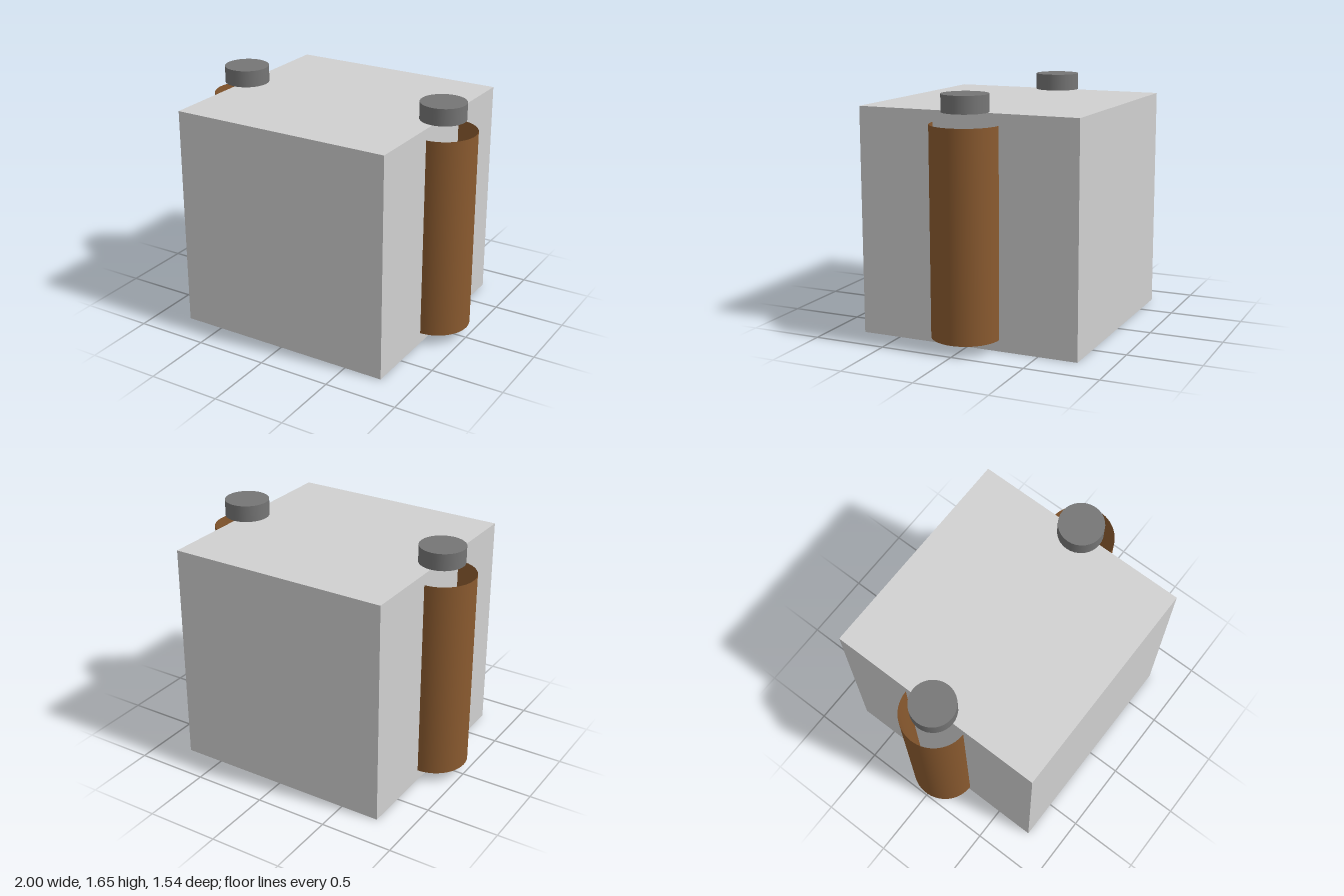
import * as THREE from 'three';

const SIZE = 1.538; // edge of the cube body

function addMesh(parent, name, geometry, material, x, y) {
  const mesh = new THREE.Mesh(geometry, material);
  mesh.name = name;
  mesh.position.set(x, y, 0);
  parent.add(mesh);
  return mesh;
}

export function createModel() {
  const group = new THREE.Group();
  group.name = 'model';

  const lightGrey = new THREE.MeshStandardMaterial({ name: 'light grey', color: 0xd0d0d0 });
  const darkGrey = new THREE.MeshStandardMaterial({ name: 'dark grey', color: 0x757575 });
  const brown = new THREE.MeshStandardMaterial({ name: 'brown', color: 0x8a5a2f, side: THREE.DoubleSide });

  // Cube body standing on the ground
  addMesh(group, 'body', new THREE.BoxGeometry(SIZE, SIZE, SIZE), lightGrey, 0, SIZE / 2);

  // Open half tube on each side, and a round knob above it on the top edge
  for (const [side, label] of [[1, 'left'], [-1, 'right']]) {
    const x = side * SIZE / 2;
    const start = side > 0 ? 0 : Math.PI;
    const tube = new THREE.CylinderGeometry(0.231, 0.231, 1.385, 32, 1, true, start, Math.PI);
    addMesh(group, label + 'SideTube', tube, brown, x, SIZE / 2);

    const knob = new THREE.CylinderGeometry(0.154, 0.154, 0.115, 32);
    addMesh(group, label + 'Knob', knob, darkGrey, x, SIZE + 0.0575);
  }

  return group;
}
